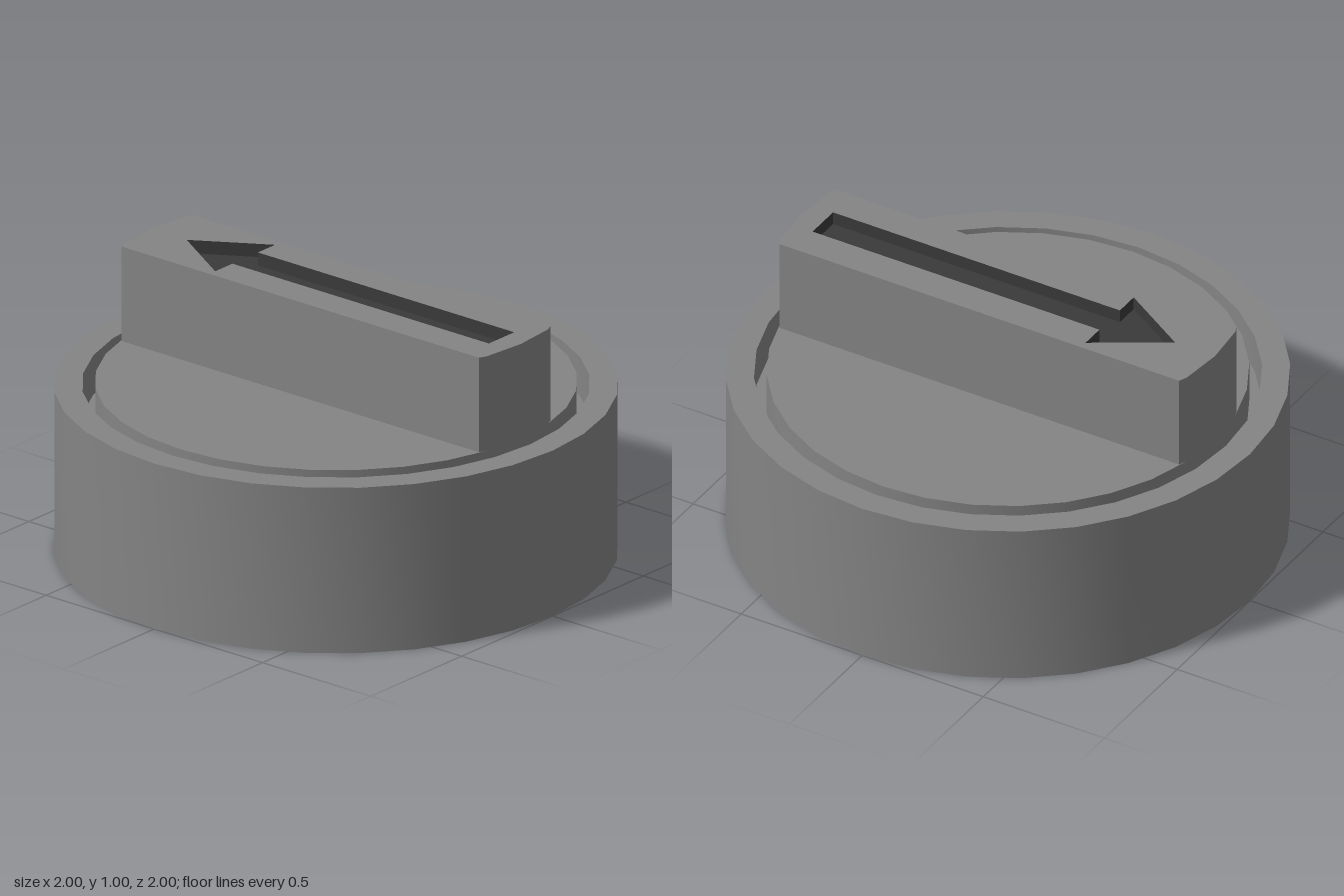
import * as THREE from 'three';
import { toCreasedNormals } from 'three/addons/utils/BufferGeometryUtils.js';

const SEGMENTS = 32;
const DIAL_RADIUS = 0.855, DIAL_TOP = 0.64, RIM_TOP = 0.63, GROOVE_FLOOR = 0.48;
const GRIP_HALF = 0.197, GRIP_TOP = 1, RECESS_FLOOR = 0.95;

// Outlines are drawn in plan: shape x = model x, shape y = -z.
const toPoints = (list) => list.map(([x, y]) => new THREE.Vector2(x, y));

// Horizontal face at height y, facing up
function plate(shape, y) {
  return new THREE.ShapeGeometry(shape).rotateX(-Math.PI / 2).translate(0, y, 0);
}

// Upright walls along a closed outline; counter-clockwise faces out, clockwise faces in
function walls(points, y0, y1) {
  const pos = [];
  points.forEach((a, i) => {
    const b = points[(i + 1) % points.length];
    pos.push(a.x, y0, -a.y, b.x, y0, -b.y, b.x, y1, -b.y);
    pos.push(a.x, y0, -a.y, b.x, y1, -b.y, a.x, y1, -a.y);
  });
  const geo = new THREE.BufferGeometry();
  geo.setAttribute('position', new THREE.Float32BufferAttribute(pos, 3));
  geo.computeVertexNormals();
  return toCreasedNormals(geo, 0.4);
}

export function createModel() {
  const grey = new THREE.MeshStandardMaterial({ color: 0x848484 });
  grey.name = 'grey';
  const darkGrey = new THREE.MeshStandardMaterial({ color: 0x3a3a3a });
  darkGrey.name = 'darkGrey';

  const model = new THREE.Group();
  model.name = 'rotaryKnob';
  const add = (name, geo, mat, parent) => {
    const mesh = new THREE.Mesh(geo, mat);
    mesh.name = name;
    parent.add(mesh);
  };

  // Round base with a ring groove around the raised dial
  const profile = toPoints([
    [0, 0], [1, 0], [1, RIM_TOP], [0.9, RIM_TOP], [0.9, GROOVE_FLOOR],
    [DIAL_RADIUS, GROOVE_FLOOR], [DIAL_RADIUS, DIAL_TOP], [0, DIAL_TOP],
  ]);
  add('base', toCreasedNormals(new THREE.LatheGeometry(profile, SEGMENTS), 0.6), grey, model);

  // Grip bar whose ends follow the facets of the dial
  const step = (Math.PI * 2) / SEGMENTS;
  const vx = DIAL_RADIUS * Math.sin(step), vy = DIAL_RADIUS * Math.cos(step);
  const end = [[GRIP_HALF, 0.826], [vx, vy], [0, DIAL_RADIUS], [-vx, vy], [-GRIP_HALF, 0.826]];
  const gripOutline = toPoints([...end, ...end.map(([x, y]) => [-x, -y])]);

  // Arrow outline, clockwise so that its walls face into the recess
  const arrowOutline = toPoints([
    [0, 0.69], [0.165, 0.42], [0.07, 0.42], [0.07, -0.765],
    [-0.07, -0.765], [-0.07, 0.42], [-0.165, 0.42],
  ]);

  const grip = new THREE.Group();
  grip.name = 'grip';
  model.add(grip);
  const gripShape = new THREE.Shape(gripOutline);
  gripShape.holes.push(new THREE.Path(arrowOutline));
  add('gripTop', plate(gripShape, GRIP_TOP), grey, grip);
  add('gripSides', walls(gripOutline, DIAL_TOP, GRIP_TOP), grey, grip);

  // Sunken arrow pointer
  const arrow = new THREE.Group();
  arrow.name = 'arrowRecess';
  model.add(arrow);
  add('arrowFloor', plate(new THREE.Shape(arrowOutline), RECESS_FLOOR), darkGrey, arrow);
  add('arrowWalls', walls(arrowOutline, RECESS_FLOOR, GRIP_TOP), darkGrey, arrow);

  return model;
}
